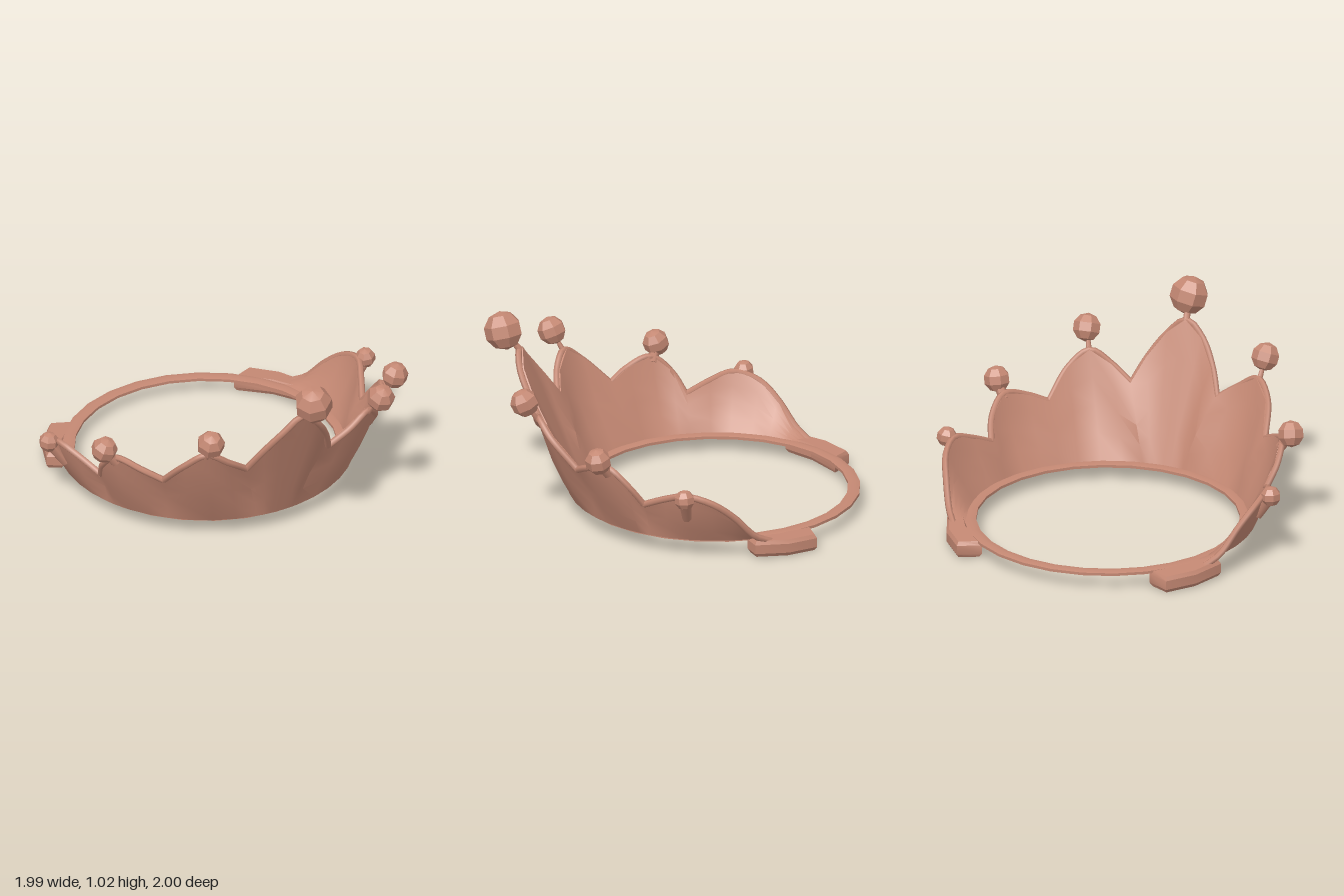
import * as THREE from 'three';
import { toCreasedNormals } from 'three/addons/utils/BufferGeometryUtils.js';

const CZ = -0.235; // centre of the band in z

// Top edge of one half, front to back: x, y, z, bulge of the panel below
const HALF = [
  [0, 0.83, 0.82, 0.0], [0.1, 0.75, 0.8, 0.0], [0.19, 0.62, 0.73, 0.0],
  [0.25, 0.49, 0.65, -0.025],
  [0.37, 0.57, 0.67, 0.0], [0.49, 0.64, 0.65, 0.025], [0.58, 0.56, 0.57, 0.015],
  [0.63, 0.41, 0.42, -0.02],
  [0.72, 0.46, 0.35, 0.005], [0.81, 0.5, 0.23, 0.02], [0.83, 0.41, 0.12, 0.01],
  [0.8, 0.3, 0.04, -0.015],
  [0.86, 0.36, -0.08, 0.01], [0.91, 0.4, -0.2, 0.015], [0.9, 0.36, -0.34, 0.01],
  [0.85, 0.27, -0.45, 0], [0.79, 0.15, -0.55, 0], [0.73, 0.1, -0.63, 0],
];
const mirrored = HALF.slice(1).reverse().map(([x, y, z, b]) => [-x, y, z, b]);
const EDGE = [...mirrored, ...HALF];

// Angle at the foot of a panel: the front panel narrows towards the band
function footAngle(t) {
  const a = Math.abs(t);
  const f = a < 0.27 ? a * 0.55 : a < 0.65 ? 0.149 + (a - 0.27) * (0.501 / 0.38) : a;
  return Math.sign(t) * f;
}

// Closed thin wall: each section runs up the outside and down the inside
function wallGeometry() {
  const rows = 5, pos = [], index = [], loop = rows * 2;
  for (const [x, y, z, bulge] of EDGE) {
    const top = Math.atan2(x, z - CZ), foot = footAngle(top);
    const topR = Math.hypot(x, z - CZ);
    for (let k = 0; k < loop; k++) {
      const inside = k >= rows;
      const t = (inside ? loop - 1 - k : k) / (rows - 1);
      const a = foot + (top - foot) * t;
      let r = 0.785 + (topR - 0.785) * t + bulge * Math.sin(Math.PI * t);
      if (inside) r -= 0.045 - 0.025 * t;
      pos.push(r * Math.sin(a), 0.1 + (y - 0.1) * t, CZ + r * Math.cos(a));
    }
  }
  for (let c = 0; c < EDGE.length - 1; c++) {
    for (let k = 0; k < loop; k++) {
      const n = (k + 1) % loop;
      const a = c * loop + k, b = a + loop, d = c * loop + n, e = d + loop;
      index.push(a, b, d, b, e, d);
    }
  }
  const g = new THREE.BufferGeometry();
  g.setAttribute('position', new THREE.Float32BufferAttribute(pos, 3));
  g.setIndex(index);
  return toCreasedNormals(g, 0.6);
}

export function createModel() {
  const crown = new THREE.Group();
  crown.name = 'crown';
  const metal = new THREE.MeshStandardMaterial({ color: 0xc48873, side: THREE.DoubleSide });
  metal.name = 'rose metal';
  const add = (name, geometry) => {
    const mesh = new THREE.Mesh(geometry, metal);
    mesh.name = name;
    crown.add(mesh);
    return mesh;
  };

  // Flat band
  const section = [[0.7, 0.085], [0.735, 0.078], [0.765, 0.085], [0.765, 0.1], [0.735, 0.108], [0.7, 0.1], [0.7, 0.085]];
  const band = new THREE.LatheGeometry(section.map(([r, y]) => new THREE.Vector2(r, y)), 28);
  add('band', toCreasedNormals(band, 0.7)).position.z = CZ;

  // Petal wall
  add('petalWall', wallGeometry());

  // Rounded rim along each petal, from valley to valley
  const mid = HALF.length - 1;
  const cuts = [-17, -11, -7, -3, 3, 7, 11, 17];
  for (let i = 0; i < cuts.length - 1; i++) {
    const pts = EDGE.slice(mid + cuts[i], mid + cuts[i + 1] + 1)
      .map(([x, y, z]) => new THREE.Vector3(x * 0.99, y - 0.008, z));
    const curve = new THREE.CatmullRomCurve3(pts, false, 'centripetal');
    add('petalRim', new THREE.TubeGeometry(curve, 20, 0.018, 6));
  }

  // Faceted beads on thin necks: bead centre, radius, neck foot, neck radii
  const beads = [
    [[0.02, 0.93, 0.9], 0.105, [0, 0.81, 0.81], 0.012, 0.02],
    [[-0.5, 0.735, 0.715], 0.077, [-0.49, 0.62, 0.65], 0.008, 0.016],
    [[0.53, 0.73, 0.715], 0.077, [0.49, 0.62, 0.65], 0.008, 0.016],
    [[-0.865, 0.55, 0.21], 0.072, [-0.8, 0.46, 0.22], 0.025, 0.03],
    [[0.86, 0.55, 0.275], 0.072, [0.8, 0.46, 0.23], 0.025, 0.03],
    [[-0.945, 0.385, -0.25], 0.055, [-0.86, 0.25, -0.22], 0.035, 0.025],
    [[0.945, 0.39, -0.2], 0.055, [0.86, 0.25, -0.2], 0.035, 0.025],
  ];
  const up = new THREE.Vector3(0, 1, 0);
  beads.forEach(([centre, r, foot, topR, footR], i) => {
    const c = new THREE.Vector3(...centre), f = new THREE.Vector3(...foot);
    const dir = c.clone().sub(f);
    const bead = add('bead', toCreasedNormals(new THREE.SphereGeometry(r, 7, 5), 0.5));
    bead.position.copy(c);
    bead.rotation.set(0.25, i * 0.9, 0.2);
    const neck = add('beadNeck', new THREE.CylinderGeometry(topR, footR, dir.length(), 6));
    neck.position.copy(c).add(f).multiplyScalar(0.5);
    neck.quaternion.setFromUnitVectors(up, dir.normalize());
  });

  // Drooping end tabs at the back of the wall
  const outline = [[0.5, -0.8], [0.6, -0.845], [0.71, -0.72], [0.775, -0.56], [0.72, -0.52], [0.64, -0.66]];
  for (const side of [1, -1]) {
    const shape = new THREE.Shape(outline.map(([x, z]) => new THREE.Vector2(x * side, -z)));
    const g = new THREE.ExtrudeGeometry(shape, {
      depth: 0.05, bevelEnabled: true, bevelThickness: 0.02, bevelSize: 0.012, bevelSegments: 1,
    });
    g.rotateX(-Math.PI / 2);
    // Lean the tab so its outer middle hangs lowest
    const p = g.attributes.position;
    for (let i = 0; i < p.count; i++) {
      const z = p.getZ(i);
      p.setY(i, p.getY(i) + 0.025 + (z + 0.85) * 0.05);
    }
    add('endTab', toCreasedNormals(g, 0.5));
  }
  return crown;
}
